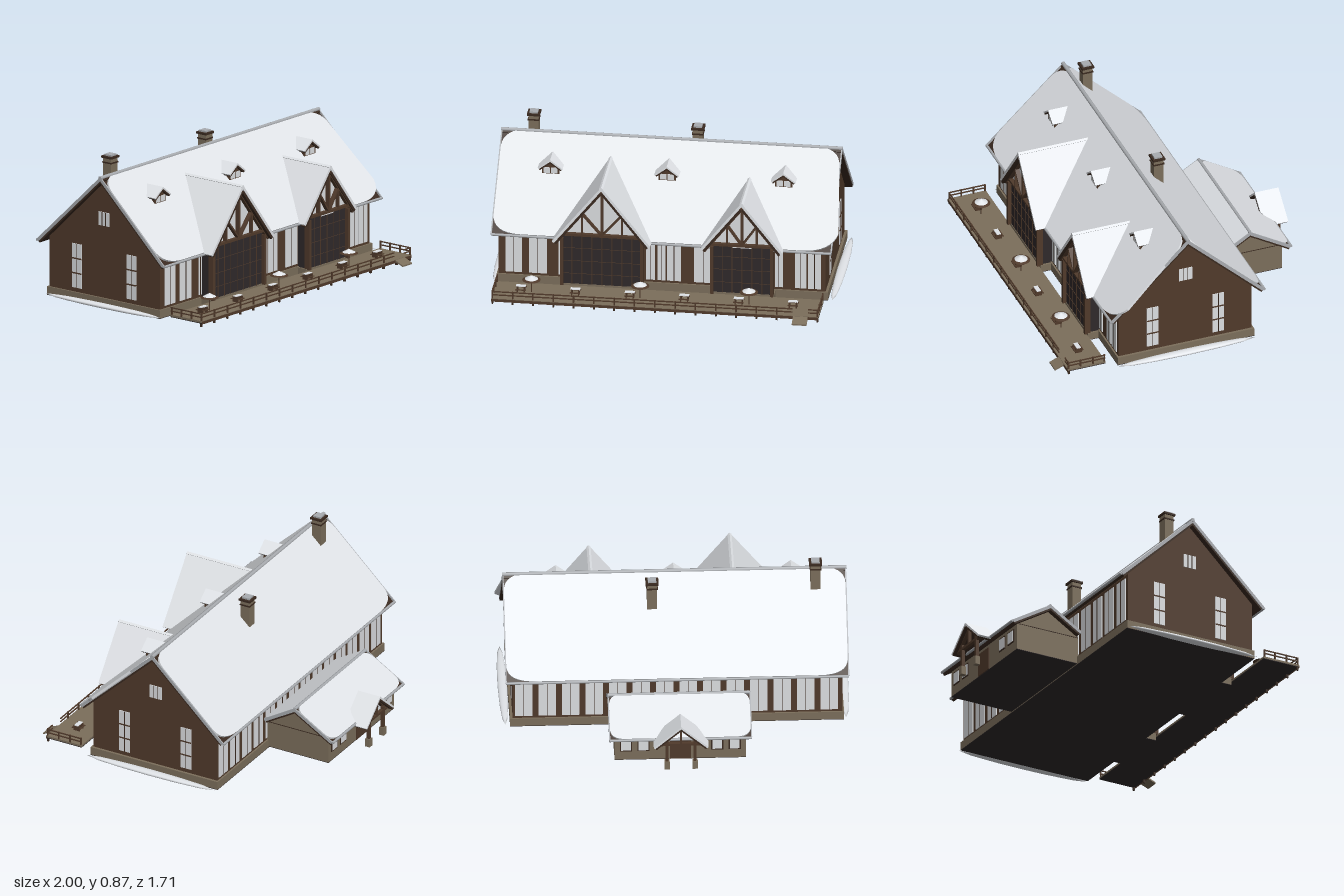
import * as THREE from 'three';

const paint = (name, color) => {
  const m = new THREE.MeshStandardMaterial({ color });
  m.name = name;
  return m;
};
const V = (x, y, z) => new THREE.Vector3(x, y, z);

export function createModel() {
  const snow = paint('snow', 0xe1e4e8), glass = paint('paleGlass', 0xdcdee1), tan = paint('tanStone', 0x7b6e5b);
  const brown = paint('brownBoards', 0x503a2b), timber = paint('darkTimber', 0x3a2a20);
  const dark = paint('darkGlazing', 0x2f292a), trim = paint('greyTrim', 0xa9acb0);
  const model = new THREE.Group();
  model.name = 'lodge';
  let target = model;

  const add = (name, geo, mat) => {
    const m = new THREE.Mesh(geo, mat);
    m.name = name;
    target.add(m);
    return m;
  };
  const box = (name, x0, x1, y0, y1, z0, z1, mat) => {
    const g = new THREE.BoxGeometry(x1 - x0, y1 - y0, z1 - z0);
    return add(name, g.translate((x0 + x1) / 2, (y0 + y1) / 2, (z0 + z1) / 2), mat);
  };
  const group = (name, build) => {
    const g = new THREE.Group(), old = target;
    g.name = name;
    old.add(g);
    target = g;
    build(g);
    target = old;
  };
  // flat outline extruded along u x v
  const slab = (name, outline, origin, u, v, offset, depth, mat) => {
    const shape = Array.isArray(outline) ? new THREE.Shape(outline.map(p => new THREE.Vector2(...p))) : outline;
    const geo = new THREE.ExtrudeGeometry(shape, { depth, bevelEnabled: false, curveSegments: 8 });
    const n = u.clone().cross(v);
    geo.applyMatrix4(new THREE.Matrix4().makeBasis(u, v, n).setPosition(origin.clone().addScaledVector(n, offset)));
    return add(name, geo, mat);
  };
  // profile given as [z, y], running from x0 to x1
  const prismX = (name, pts, x0, x1, mat) =>
    slab(name, pts.map(([z, y]) => [-z, y]), V(x0, 0, 0), V(0, 0, -1), V(0, 1, 0), 0, x1 - x0, mat);
  const prismZ = (name, pts, z0, z1, mat) =>
    slab(name, pts, V(0, 0, z0), V(1, 0, 0), V(0, 1, 0), 0, z1 - z0, mat);
  // timber between two [x, y] points
  const beam = (name, a, b, w, z0, z1, mat) => {
    const dx = b[0] - a[0], dy = b[1] - a[1], len = Math.hypot(dx, dy);
    const g = new THREE.BoxGeometry(len, w, z1 - z0).rotateZ(Math.atan2(dy, dx));
    add(name, g.translate((a[0] + b[0]) / 2, (a[1] + b[1]) / 2, (z0 + z1) / 2), mat);
  };
  const rod = (name, x0, x1, y, z, r, mat) =>
    add(name, new THREE.CylinderGeometry(r, r, x1 - x0, 8).rotateZ(Math.PI / 2).translate((x0 + x1) / 2, y, z), mat);

  // snow sheet with rounded corners and optional bulge past one edge
  const snowSheet = (w, h, rx, ry, bulge) => {
    const s = new THREE.Shape(), e = 0.004;
    s.moveTo(rx, e);
    s.lineTo(w - rx, e);
    s.quadraticCurveTo(w - e, e, w - e + bulge, ry);
    s.lineTo(w - e, h - ry);
    s.quadraticCurveTo(w - e, h, w - rx, h);
    s.lineTo(rx, h);
    s.quadraticCurveTo(e, h, e, h - ry);
    s.lineTo(e, ry);
    s.quadraticCurveTo(e, e, rx, e);
    return s;
  };
  // roof slope with ridge along x
  const slopeX = (name, x0, x1, eave, ridge, rx, ry, bulge = 0) => {
    const dz = ridge[0] - eave[0], dy = ridge[1] - eave[1], len = Math.hypot(dz, dy), w = x1 - x0;
    const front = dz < 0;
    const u = V(front ? 1 : -1, 0, 0), v = V(0, dy / len, dz / len), o = V(front ? x0 : x1, eave[1], eave[0]);
    slab(name + 'Deck', [[0, 0], [w, 0], [w, len], [0, len]], o, u, v, -0.028, 0.018, timber);
    slab(name + 'Snow', snowSheet(w, len, rx, ry, bulge), o, u, v, -0.012, 0.014, snow);
    for (const a of [-0.003, w - 0.004])
      slab(name + 'Rake', [[a, 0], [a + 0.007, 0], [a + 0.007, len], [a, len]], o, u, v, -0.018, 0.018, trim);
    rod(name + 'Gutter', x0, x1, eave[1] - 0.006, eave[0], 0.008, trim);
  };
  // cross gable roof, ridge along z, back edge cut to a valley up to the given fraction of the slope
  const gableRoof = (xc, half, eaveY, ridgeY, zFront, zEave, zRidge, t, knee = 1) => {
    const len = Math.hypot(half, ridgeY - eaveY), miter = 2 * t * (ridgeY - eaveY) / half;
    for (const s of [1, -1]) {
      const u = V(0, 0, -s), v = V(-s * half / len, (ridgeY - eaveY) / len, 0), o = V(xc + s * half, eaveY, 0);
      const outline = (zf, v0, v1) => {
        const p = [[-zf, v0], [-zEave, v0], [-zRidge, v1 * knee]];
        if (knee < 1) p.push([-zRidge, v1]);
        p.push([-zf, v1]);
        return p.map(([a, b]) => [s * a, b]);
      };
      slab('gableRoofDeck', outline(zFront, 0, len - miter), o, u, v, -2 * t, t, timber);
      slab('gableRoofSnow', outline(zFront + 0.002, -0.002, len), o, u, v, -t, t, snow);
    }
  };

  // main hall on its foundation
  box('foundation', -0.96, 0.945, 0.012, 0.06, -0.335, 0.5, tan);
  box('foundationUnderside', -0.96, 0.945, 0.009, 0.012, -0.335, 0.5, dark);
  prismX('hallWalls', [[0.49, 0.05], [-0.325, 0.05], [-0.325, 0.355], [0.08, 0.742], [0.49, 0.352]], -0.95, 0.93, brown);
  slopeX('frontRoof', -0.985, 0.97, [0.55, 0.335], [0.08, 0.78], 0.17, 0.12, 0.035);
  slopeX('backRoof', -0.985, 0.97, [-0.388, 0.337], [0.08, 0.78], 0.17, 0.1);
  rod('ridgeCap', -0.99, 0.975, 0.773, 0.08, 0.012, trim);
  for (const s of [1, -1]) {
    const drift = new THREE.SphereGeometry(1, 12, 8).scale(0.028, 0.014, 0.42);
    add('snowDrift', drift.translate(s > 0 ? 0.972 : -0.972, 0.019, 0.09), snow);
  }

  // tall glass panels along the long walls
  const panels = (list, z) => list.forEach(([x0, x1]) => {
    const xm = (x0 + x1) / 2;
    box('wallPanel', x0, x1, 0.075, 0.335, z - 0.003, z + 0.003, glass);
    box('panelMullion', xm - 0.0015, xm + 0.0015, 0.075, 0.335, z - 0.005, z + 0.005, timber);
  });
  panels([[-0.91, -0.815], [-0.775, -0.67], [-0.605, -0.58], [-0.1, -0.05], [-0.035, 0.01], [0.02, 0.1],
    [0.175, 0.28], [0.64, 0.685], [0.755, 0.82], [0.83, 0.905]], 0.492);
  const back = [];
  for (let i = 0; i < 14; i++) back.push([-0.925 + i * 0.134, -0.825 + i * 0.134]);
  panels(back, -0.327);

  // end wall windows
  for (const x of [-0.951, 0.931]) {
    for (const [z, y0, y1, w, rows] of [[0.283, 0.085, 0.345, 0.07, 3], [-0.12, 0.085, 0.345, 0.07, 3], [0.08, 0.485, 0.565, 0.08, 1]]) {
      box('endWindow', x - 0.003, x + 0.003, y0, y1, z - w / 2, z + w / 2, glass);
      const cols = rows > 1 ? [0] : [-0.013, 0.013];
      for (const c of cols) box('endWindowBar', x - 0.005, x + 0.005, y0, y1, z + c - 0.0015, z + c + 0.0015, timber);
      for (let r = 1; r < rows; r++) {
        const y = y0 + (y1 - y0) * r / rows;
        box('endWindowRail', x - 0.005, x + 0.005, y - 0.004, y + 0.004, z - w / 2, z + w / 2, brown);
      }
    }
  }

  // glazed front bays with timber trusses
  const bay = (xc, w, half, beamY, ridgeY, zf, zr) => group('frontBay', () => {
    const k = (ridgeY - 0.335) / half, under = x => ridgeY - 0.04 - Math.abs(x) * k;
    const knee = Math.min(w, (ridgeY - 0.04 - beamY) / k);
    box('bayFoundation', xc - w - 0.012, xc + w + 0.012, 0.012, 0.055, 0.49, 0.565, tan);
    box('bayUnderside', xc - w - 0.012, xc + w + 0.012, 0.009, 0.012, 0.49, 0.565, dark);
    prismZ('gableGlass', [[xc - knee, beamY], [xc + knee, beamY], [xc, under(0)]], 0.3, 0.558, glass);
    box('bayGlazing', xc - w, xc + w, 0.05, beamY, 0.4, 0.562, dark);
    const n = Math.round(w * 2 / 0.057);
    for (let i = 1; i < n; i++) {
      const x = xc - w + 2 * w * i / n;
      box('bayMullion', x - 0.0015, x + 0.0015, 0.05, beamY, 0.562, 0.565, brown);
    }
    for (const y of [0.12, 0.2, 0.28]) box('bayTransom', xc - w, xc + w, y - 0.0008, y + 0.0008, 0.562, 0.565, brown);
    const z0 = 0.558, z1 = 0.583, base = w * 0.5;
    beam('tieBeam', [xc - knee, beamY], [xc + knee, beamY], 0.014, z0, z1, brown);
    beam('kingPost', [xc, beamY], [xc, ridgeY - 0.04], 0.014, z0, z1, brown);
    for (const s of [1, -1]) {
      box('bayPost', xc + s * w - 0.009, xc + s * w + 0.009, 0.05, 0.345, 0.548, z1, brown);
      beam('rafter', [xc + s * half * 0.93, under(half * 0.93)], [xc, under(0)], 0.02, z0, z1, brown);
      beam('trussPost', [xc + s * base, beamY], [xc + s * base, under(base)], 0.009, z0, z1, brown);
      beam('brace', [xc, beamY], [xc + s * base, under(base)], 0.01, z0, z1, brown);
    }
    gableRoof(xc, half, 0.335, ridgeY, zf, 0.53, zr, 0.015);
  });
  bay(-0.345, 0.23, 0.282, 0.37, 0.69, 0.605, 0.17);
  bay(0.46, 0.172, 0.235, 0.36, 0.635, 0.59, 0.23);
  box('blankSignBoard', 0.405, 0.515, 0.341, 0.35, 0.562, 0.568, glass);

  // roof dormers
  for (const x of [-0.68, -0.01, 0.66]) group('dormer', () => {
    prismZ('dormerBody', [[x - 0.05, 0.59], [x + 0.05, 0.59], [x + 0.05, 0.648], [x, 0.68], [x - 0.05, 0.648]], 0.14, 0.272, brown);
    for (const s of [-1, 1]) box('dormerPane', x + s * 0.022 - 0.018, x + s * 0.022 + 0.018, 0.605, 0.64, 0.27, 0.275, glass);
    gableRoof(x, 0.07, 0.642, 0.695, 0.29, 0.21, 0.165, 0.009);
  });

  // chimneys
  for (const [x, z, top] of [[-0.81, 0.01, 0.87], [0.125, -0.06, 0.805]]) group('chimney', () => {
    const layer = (name, h, y0, y1, mat) => box(name, x - h, x + h, y0, y1, z - h, z + h, mat);
    layer('chimneyStack', 0.029, 0.6, top - 0.022, tan);
    layer('chimneyBand', 0.033, top - 0.052, top - 0.044, timber);
    layer('chimneyCap', 0.037, top - 0.022, top - 0.01, timber);
    layer('chimneyLid', 0.024, top - 0.01, top, trim);
  });

  // rear annex
  group('annex', () => {
    prismX('annexWalls', [[-0.3, 0.02], [-0.73, 0.02], [-0.73, 0.175], [-0.525, 0.298], [-0.3, 0.17]], -0.385, 0.365, tan);
    box('annexUnderside', -0.385, 0.365, 0.017, 0.02, -0.73, -0.335, dark);
    for (const x of [-0.387, 0.365]) box('annexBand', x, x + 0.002, 0.177, 0.181, -0.72, -0.33, timber);
    slopeX('annexFrontRoof', -0.415, 0.395, [-0.325, 0.21], [-0.525, 0.33], 0.03, 0.03);
    slopeX('annexBackRoof', -0.415, 0.395, [-0.775, 0.18], [-0.525, 0.33], 0.09, 0.07);
    rod('annexRidgeCap', -0.415, 0.395, 0.325, -0.525, 0.01, trim);
    for (const x of [-0.32, -0.22, 0.2, 0.3]) {
      box('annexFrame', x - 0.035, x + 0.035, 0.075, 0.155, -0.734, -0.729, timber);
      box('annexPane', x - 0.028, x + 0.028, 0.082, 0.148, -0.737, -0.73, glass);
    }
    box('annexDoor', -0.07, 0.05, 0.02, 0.155, -0.735, -0.729, brown);
  });

  // rear porch, built facing forward then turned around
  group('porch', g => {
    gableRoof(0.01, 0.155, 0.17, 0.305, 0.853, 0.775, 0.71, 0.011, 0.42);
    beam('porchTie', [-0.11, 0.175], [0.13, 0.175], 0.014, 0.815, 0.835, brown);
    beam('porchKing', [0.01, 0.175], [0.01, 0.28], 0.012, 0.815, 0.835, brown);
    for (const s of [1, -1]) {
      const x = 0.01 + s * 0.08;
      box('porchPost', x - 0.009, x + 0.009, 0.06, 0.2, 0.816, 0.834, brown);
      box('porchPostBase', x - 0.015, x + 0.015, 0.015, 0.065, 0.81, 0.84, tan);
      beam('porchRafter', [0.01 + s * 0.13, 0.165], [0.01, 0.278], 0.012, 0.815, 0.835, brown);
    }
    g.rotation.y = Math.PI;
  });

  // front deck with railing and step
  group('deck', () => {
    box('deckBoards', -0.95, 0.93, 0.034, 0.045, 0.568, 0.8, tan);
    box('deckUnderside', -0.95, 0.93, 0.03, 0.034, 0.568, 0.8, dark);
    box('deckFascia', -0.95, 0.93, 0.026, 0.042, 0.798, 0.802, brown);
    for (let i = 0; i <= 16; i++) {
      const x = -0.945 + i * 0.1168;
      box('deckFoot', x - 0.005, x + 0.005, 0.01, 0.032, 0.785, 0.797, timber);
      if (x < 0.77 || x > 0.88) box('railPost', x - 0.004, x + 0.004, 0.04, 0.09, 0.79, 0.798, brown);
    }
    for (const y of [0.066, 0.086]) {
      box('frontRail', -0.95, 0.78, y - 0.003, y + 0.003, 0.791, 0.797, brown);
      box('frontRail', 0.87, 0.93, y - 0.003, y + 0.003, 0.791, 0.797, brown);
      for (const x of [-0.947, 0.927]) box('endRail', x - 0.003, x + 0.003, y - 0.003, y + 0.003, 0.57, 0.797, brown);
    }
    for (const x of [-0.946, 0.926]) for (const z of [0.575, 0.645, 0.72])
      box('endRailPost', x - 0.004, x + 0.004, 0.04, 0.09, z - 0.004, z + 0.004, brown);
    prismX('stepRamp', [[0.855, 0.012], [0.8, 0.033], [0.8, 0.043], [0.855, 0.02]], 0.785, 0.87, tan);
  });

  // picnic tables and umbrellas
  for (let i = 0; i < 6; i++) group('picnicTable', () => {
    const x = -0.795 + i * 0.313, z = 0.68;
    box('tableTop', x - 0.028, x + 0.028, 0.077, 0.081, z - 0.013, z + 0.013, snow);
    for (const s of [-1, 1]) {
      box('bench', x - 0.03, x + 0.03, 0.06, 0.064, z + s * 0.023 - 0.005, z + s * 0.023 + 0.005, brown);
      box('tableLeg', x + s * 0.02 - 0.003, x + s * 0.02 + 0.003, 0.044, 0.078, z - 0.02, z + 0.02, brown);
    }
  });
  for (const x of [-0.735, -0.11, 0.515]) group('umbrella', () => {
    add('umbrellaPole', new THREE.CylinderGeometry(0.003, 0.003, 0.09, 8).translate(x, 0.088, 0.68), brown);
    add('umbrellaCanopy', new THREE.ConeGeometry(0.053, 0.022, 16).translate(x, 0.131, 0.68), brown);
    add('umbrellaSnow', new THREE.ConeGeometry(0.038, 0.02, 16).translate(x, 0.137, 0.68), snow);
  });

  return model;
}
